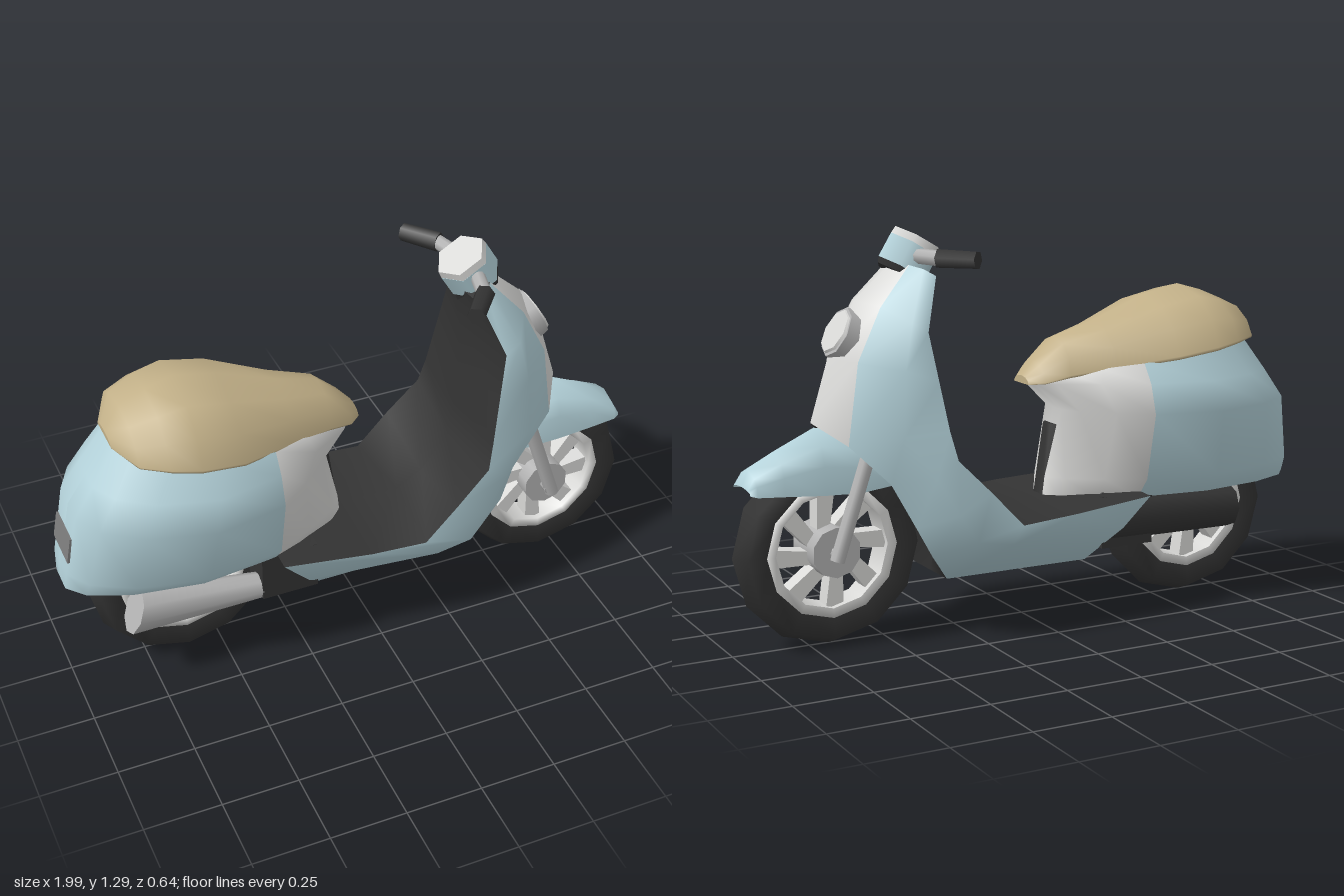
import * as THREE from 'three';

const mat = (name, color) => new THREE.MeshStandardMaterial({ name, color, side: THREE.DoubleSide });

export function createModel() {
  const root = new THREE.Group();
  root.name = 'scooter';
  const blue = mat('paleBlue', 0xb4d2da), grey = mat('lightGrey', 0xdadad8), metal = mat('metalGrey', 0xb4b4b4);
  const black = mat('matteBlack', 0x333333), tan = mat('seatTan', 0xc2b088), lamp = mat('lampGrey', 0x7c7c7c);

  const add = (name, geo, material, parent = root) => {
    const m = new THREE.Mesh(geo, material);
    m.name = name;
    parent.add(m);
    return m;
  };
  const flip = ([x, y, z]) => [x, y, -z];

  // Smooth surface through equal rows of points; pick gives each quad a material slot, or -1 for a gap
  const sheet = (rows, pick = () => 0) => {
    const n = rows[0].length, slots = [[], []];
    for (let i = 0; i < rows.length - 1; i++)
      for (let j = 0; j < n - 1; j++) {
        const a = i * n + j, b = a + n, k = pick(i, j);
        if (k >= 0) slots[k].push(a, b, a + 1, b, b + 1, a + 1);
      }
    const g = new THREE.BufferGeometry();
    g.setAttribute('position', new THREE.Float32BufferAttribute(rows.flat(2), 3));
    g.setIndex(slots.flat());
    g.addGroup(0, slots[0].length, 0);
    g.addGroup(slots[0].length, slots[1].length, 1);
    g.computeVertexNormals();
    return g;
  };
  // Half rows ending on the centre line, completed by mirroring
  const fullRow = (r) => [...r, ...r.slice(0, -1).reverse().map(flip)];
  // Round bar between two points
  const rod = (name, a, b, ra, rb, material, seg = 8, parent = root) => {
    const p = new THREE.Vector3(...a), q = new THREE.Vector3(...b), d = q.clone().sub(p);
    const m = add(name, new THREE.CylinderGeometry(rb, ra, d.length(), seg), material, parent);
    m.position.copy(p).add(q).multiplyScalar(0.5);
    m.quaternion.setFromUnitVectors(new THREE.Vector3(0, 1, 0), d.normalize());
    return m;
  };

  // Wheels
  const lathe = (pts) => new THREE.LatheGeometry(pts.map((p) => new THREE.Vector2(...p)), 12).rotateX(Math.PI / 2);
  const polar = (r, a) => new THREE.Vector2(r * Math.cos(a), r * Math.sin(a));
  const wheel = (name, x) => {
    const g = new THREE.Group();
    g.name = name;
    g.position.set(x, 0.31, 0);
    root.add(g);
    add('tyre', lathe([[0.21, -0.052], [0.28, -0.066], [0.308, 0], [0.28, 0.066], [0.21, 0.052]]), black, g);
    add('rim', lathe([[0.185, -0.05], [0.215, -0.053], [0.215, 0.053], [0.185, 0.05], [0.185, -0.05]]), grey, g);
    for (let i = 0; i < 8; i++) {
      const a = (i * Math.PI) / 4;
      const s = new THREE.Shape([polar(0.06, a), polar(0.195, a + 0.58), polar(0.195, a + 0.88), polar(0.06, a + 0.78)]);
      add('spoke', new THREE.ExtrudeGeometry(s, { depth: 0.06, bevelEnabled: false }).translate(0, 0, -0.03), grey, g);
    }
    rod('hub', [0, 0, -0.085], [0, 0, 0.085], 0.08, 0.08, metal, 10, g);
    rod('axle', [0, 0, -0.12], [0, 0, 0.12], 0.022, 0.022, metal, 8, g);
  };
  wheel('rearWheel', -0.613);
  wheel('frontWheel', 0.685);

  // Leg shield and floor: stations run from the shield top down and back.
  // a = centre line, b = front or bottom rim, m = widest point, c = rider-side edge, d = inner centre
  const a = [[0.45, 1.185, 0], [0.58, 1.07, 0], [0.67, 0.9, 0], [0.73, 0.705, 0], [0.4, 0.54, 0],
    [0.33, 0.4, 0], [0.31, 0.3, 0], [0.33, 0.19, 0], [-0.17, 0.19, 0]];
  const b = [[0.43, 1.18, 0.08], [0.54, 1.06, 0.11], [0.62, 0.9, 0.12], [0.655, 0.645, 0.12], [0.53, 0.52, 0.15],
    [0.46, 0.38, 0.18], [0.4, 0.28, 0.165], [0.33, 0.19, 0.12], [-0.17, 0.19, 0.12]];
  const m = [[0.4, 1.17, 0.12], [0.48, 1.02, 0.21], [0.51, 0.88, 0.225], [0.52, 0.68, 0.235], [0.43, 0.55, 0.268],
    [0.36, 0.43, 0.28], [0.3, 0.34, 0.285], [0.18, 0.32, 0.285], [-0.25, 0.31, 0.23]];
  const c = [[0.37, 1.15, 0.145], [0.43, 0.99, 0.215], [0.405, 0.84, 0.235], [0.38, 0.69, 0.255], [0.36, 0.6, 0.272],
    [0.25, 0.49, 0.28], [0.14, 0.375, 0.28], [-0.05, 0.39, 0.28], [-0.34, 0.41, 0.25]];
  const d = [[0.35, 1.15, 0], [0.375, 1.0, 0], [0.37, 0.84, 0], [0.365, 0.68, 0], [0.345, 0.56, 0],
    [0.25, 0.44, 0], [0.16, 0.385, 0], [-0.05, 0.4, 0], [-0.34, 0.42, 0]];
  // Grey strip down the front, open arch for the wheel, blue elsewhere
  const shieldSlot = (i, j) => (j < 2 || j > 3 || i === 7 ? 0 : i < 3 ? 1 : -1);
  add('bodyShell', sheet(a.map((p, i) => fullRow([c[i], m[i], b[i], p])), shieldSlot), [blue, grey]);
  add('footwell', sheet(c.map((p, i) => fullRow([p, d[i]]))), black);
  const well = [[0.46, 0.8, 0], ...a.slice(4, 8)];
  add('frontWheelWell', sheet(well.map((p, i) => fullRow([b[i + 3], p]))), black);
  add('wellCeiling', sheet([fullRow([b[3], a[3]]), fullRow([b[3], well[0]])]), black);
  const top = [b[0], m[0], c[0]], tail = [c[8], m[8], b[8]];
  add('shieldTop', sheet([top, [a[0], a[0], d[0]], top.map(flip)]), black);
  add('floorBack', sheet([tail, tail.map(flip)]), black);

  // Rear body: outlines [height, height slope, back x, front x, half width], open below for the wheel
  const levels = [[0.39, 0, -1, -0.06, 0.2], [0.46, 0, -0.995, -0.07, 0.265], [0.68, 0, -0.95, -0.12, 0.32],
    [0.775, 0, -0.885, -0.025, 0.285], [0.792, -0.13, -0.8, -0.06, 0.235]];
  const split = -0.34;
  const rearPlan = [[0, 0], [0, 0.25], [0.08, 0.55], [0.28, 0.82], [0.62, 1], [1, 0.86]];
  const nosePlan = [[0.45, 0.62], [0.85, 0.36], [1, 0.15], [1, 0]];
  const rings = levels.map(([y, slope, xb, xf, w]) => {
    const at = (x, v) => [x, y + slope * x, w * v];
    return fullRow([...rearPlan.map(([u, v]) => at(xb + (split - xb) * u, v)),
      ...nosePlan.map(([u, v]) => at(split + (xf - split) * u, v))]);
  });
  add('rearBody', sheet(rings, (i, j) => (j > 4 && j < 13 ? 1 : 0)), [blue, grey]);
  // Dark lining above the rear wheel
  const roof = rings[0].map(([x, , z]) => [x * 0.9 - 0.04, 0.63, z * 0.85]);
  add('rearWheelWell', sheet([rings[0], roof, roof.map(([x]) => [x, 0.63, 0])]), black);
  const light = add('tailLight', new THREE.BoxGeometry(0.04, 0.09, 0.15), lamp);
  light.position.set(-0.962, 0.55, 0);
  light.rotation.z = -0.18;

  // Seat: cross-sections [x, top, bottom, half width]
  const seat = [[-0.815, 0.92, 0.9, 0.07], [-0.765, 1.0, 0.89, 0.19], [-0.68, 1.035, 0.88, 0.235],
    [-0.59, 1.06, 0.865, 0.254], [-0.45, 1.03, 0.845, 0.245], [-0.26, 0.955, 0.815, 0.165],
    [-0.12, 0.915, 0.793, 0.115], [-0.04, 0.84, 0.775, 0.09], [0, 0.795, 0.77, 0.05]];
  const seatRows = seat.map(([x, t, bt, w]) => {
    const h = t - bt;
    return fullRow([[x, bt, 0], [x, bt, w * 0.98], [x, bt + h * 0.06, w], [x, bt + h * 0.5, w * 0.84],
      [x, t - h * 0.15, w * 0.52], [x, t, 0]]);
  });
  add('seat', sheet(seatRows), tan);
  for (const end of [seatRows[0], seatRows[seatRows.length - 1]])
    add('seatEnd', sheet([end.slice(0, 6), end.slice(5).reverse()]), tan);

  // Front fender: cross-sections [x, top, bottom, half width]
  const fender = [[0.48, 0.58, 0.5, 0.075], [0.6, 0.665, 0.49, 0.09], [0.72, 0.69, 0.495, 0.092],
    [0.85, 0.63, 0.505, 0.09], [0.935, 0.58, 0.51, 0.085], [0.955, 0.53, 0.515, 0.075]];
  add('frontFender', sheet(fender.map(([x, t, bt, w]) =>
    fullRow([[x, bt, w], [x, bt + (t - bt) * 0.45, w * 0.94], [x, t - 0.25 * (t - bt), w * 0.68], [x, t, 0]]))), blue);

  // Fork, handlebars and grips
  for (const s of [1, -1]) {
    rod('forkLeg', [0.58, 0.63, 0.11 * s], [0.695, 0.29, 0.11 * s], 0.024, 0.024, metal);
    rod('handlebar', [0.4, 1.205, 0.04 * s], [0.365, 1.205, 0.175 * s], 0.024, 0.024, metal);
    rod('grip', [0.37, 1.205, 0.165 * s], [0.29, 1.205, 0.268 * s], 0.032, 0.029, black, 6);
  }
  // Handlebar housing stacked on the neck
  const turn = Math.PI / 6;
  rod('steeringNeck', [0.42, 1.1, 0], [0.38, 1.2, 0], 0.06, 0.06, black);
  rod('housingBase', [0.43, 1.142, 0], [0.42, 1.158, 0], 0.08, 0.088, black, 6).rotateY(turn);
  rod('handlebarHousing', [0.42, 1.158, 0], [0.377, 1.228, 0], 0.088, 0.088, blue, 6).rotateY(turn);
  rod('gauge', [0.377, 1.228, 0], [0.364, 1.25, 0], 0.088, 0.085, grey, 6).rotateY(turn);

  // Headlight
  rod('headlightRing', [0.595, 0.958, 0], [0.638, 0.98, 0], 0.088, 0.082, metal);
  rod('headlightLens', [0.638, 0.98, 0], [0.645, 0.984, 0], 0.074, 0.07, grey);

  // Engine and drive case
  add('engine', new THREE.BoxGeometry(0.19, 0.17, 0.36), black).position.set(-0.295, 0.32, 0);
  rod('driveCase', [-0.22, 0.33, -0.13], [-0.72, 0.315, -0.13], 0.085, 0.075, black);

  // Exhaust with a slanted tip
  const ring = (x, y, r, slant) => Array.from({ length: 9 }, (_, i) => {
    const t = (i * Math.PI) / 4, dy = r * Math.sin(t);
    return [x + slant * dy, y + dy, 0.14 - 0.9 * r * Math.cos(t)];
  });
  const tip = ring(-0.81, 0.3, 0.073, 0.42);
  add('muffler', sheet([ring(-0.385, 0.265, 0.045, 0), tip]), metal);
  add('mufflerTip', sheet([tip, ring(-0.81, 0.3, 0, 0)]), metal);
  return root;
}
